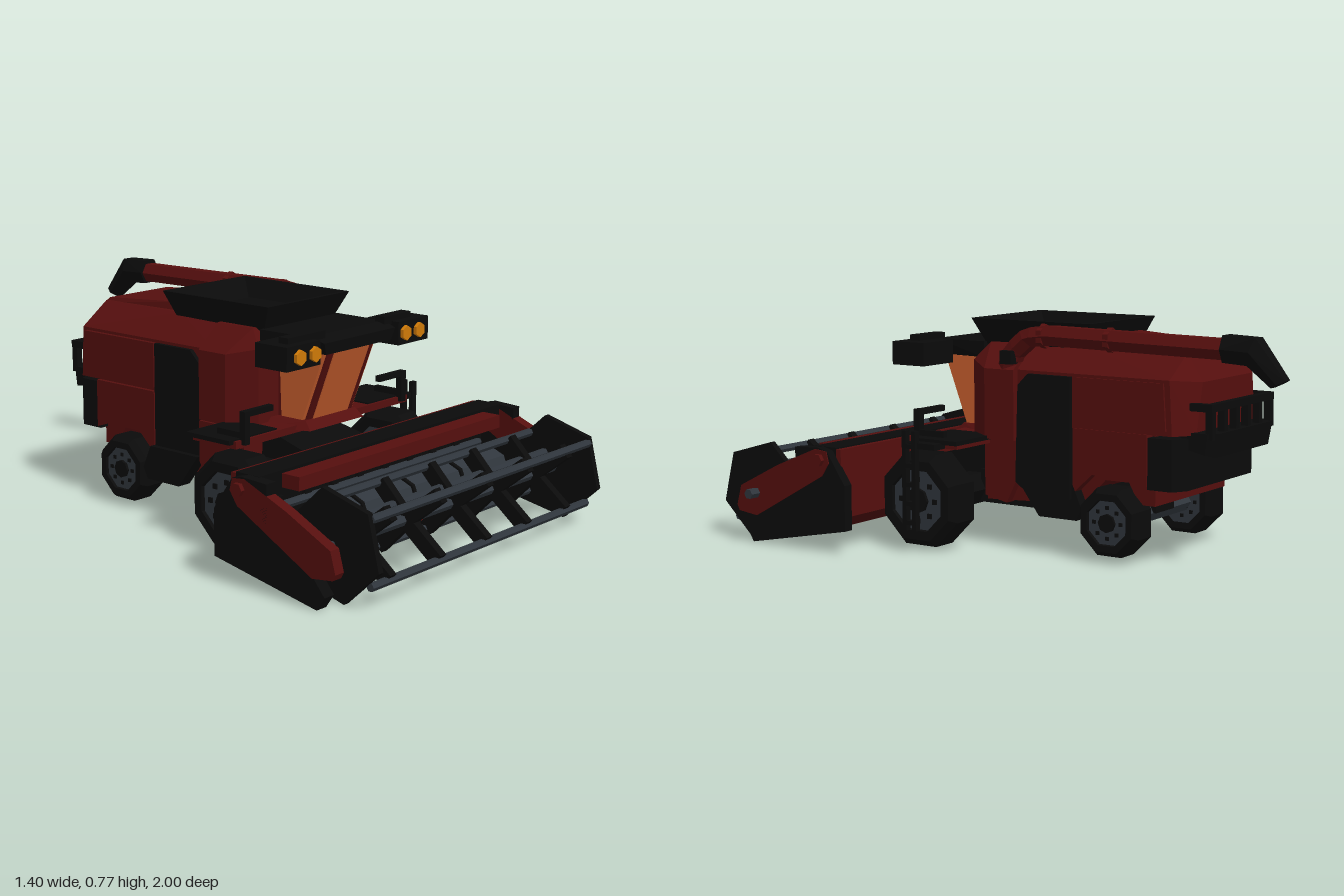
import * as THREE from 'three';
import { ConvexGeometry } from 'three/addons/geometries/ConvexGeometry.js';

const mat = (color) => new THREE.MeshStandardMaterial({ color, flatShading: true, side: THREE.DoubleSide });
const RED = mat(0x560f0e), BLACK = mat(0x0b0b0b), GREY = mat(0x30363d), GLASS = mat(0xcc602f), AMBER = mat(0xd07a08);

export function createModel() {
  const root = new THREE.Group();
  root.name = 'combineHarvester';
  const body = new THREE.Group();
  body.name = 'machine';
  body.position.x = -0.015; // machine is built symmetric, then shifted
  root.add(body);

  const add = (name, geo, m) => {
    const mesh = new THREE.Mesh(geo, m);
    mesh.name = name;
    body.add(mesh);
    return mesh;
  };
  // box given by its min and max on each axis
  const box = (name, m, x0, x1, y0, y1, z0, z1) =>
    add(name, new THREE.BoxGeometry(x1 - x0, y1 - y0, z1 - z0)
      .translate((x0 + x1) / 2, (y0 + y1) / 2, (z0 + z1) / 2), m);
  // side profile of [z, y] points, extruded from x0 to x1
  const profile = (name, m, pts, x0, x1) => {
    const shape = new THREE.Shape(pts.map(([z, y]) => new THREE.Vector2(z, y)));
    const geo = new THREE.ExtrudeGeometry(shape, { depth: x1 - x0, bevelEnabled: false });
    return add(name, geo.rotateY(-Math.PI / 2).translate(x1, 0, 0), m);
  };
  // convex block mirrored over x from [half width, y, z] corners
  const hull = (name, m, pts) => add(name, new ConvexGeometry(
    pts.flatMap(([x, y, z]) => [new THREE.Vector3(x, y, z), new THREE.Vector3(-x, y, z)])), m);
  // rod along x
  const rod = (name, m, x0, x1, y, z, r, sides = 6) =>
    add(name, new THREE.CylinderGeometry(r, r, x1 - x0, sides)
      .rotateZ(Math.PI / 2).translate((x0 + x1) / 2, y, z), m);
  // the same part on both sides, between distances a and b from the middle
  const both = (fn, a, b) => { fn(a, b, 1); fn(-b, -a, -1); };

  // ---- main body ----
  hull('rearBody', RED, [[0.27, 0.44, -0.6], [0.27, 0.44, 0.05], [0.27, 0.62, 0.05], [0.27, 0.62, -0.59],
    [0.155, 0.7, -0.59], [0.17, 0.705, -0.2], [0.17, 0.7, 0.05], [0.2, 0.44, -0.65], [0.17, 0.61, -0.655]]);
  hull('rearTopPanel', RED, [[0.155, 0.69, -0.6], [0.145, 0.71, -0.58], [0.145, 0.735, -0.22], [0.155, 0.69, -0.2]]);
  profile('lowerBody', RED, [[0.15, 0.16], [0.15, 0.45], [-0.52, 0.45], [-0.52, 0.2], [-0.46, 0.2],
    [-0.42, 0.27], [-0.33, 0.27], [-0.24, 0.18]], -0.235, 0.235);
  hull('frontBody', RED, [[0.295, 0.38, 0], [0.295, 0.62, 0], [0.295, 0.62, 0.12], [0.295, 0.38, 0.12],
    [0.2, 0.7, 0], [0.2, 0.7, 0.16], [0.23, 0.38, 0.21], [0.23, 0.64, 0.21]]);
  box('chassis', BLACK, -0.18, 0.18, 0.135, 0.25, -0.3, 0.22);
  both((a, b) => {
    profile('sidePanel', BLACK, [[0, 0.24], [-0.01, 0.57], [-0.05, 0.61], [-0.22, 0.61],
      [-0.22, 0.2], [-0.06, 0.2]], a, b);
    profile('lowerSideTank', BLACK, [[0, 0.25], [-0.225, 0.25], [-0.26, 0.17], [-0.24, 0.13], [-0.09, 0.13]], a - 0.02, b - 0.01);
    profile('lowerSidePanel', RED, [[-0.225, 0.22], [-0.225, 0.44], [-0.51, 0.44], [-0.51, 0.27],
      [-0.45, 0.29], [-0.3, 0.29]], a, b - 0.01);
    profile('rearSidePanel', RED, [[-0.225, 0.455], [-0.225, 0.61], [-0.57, 0.61], [-0.58, 0.455]], a, b - 0.008);
    profile('frontSidePanel', RED, [[0.14, 0.18], [0.14, 0.38], [0.01, 0.38], [0.01, 0.24], [0.05, 0.16]], a - 0.02, b - 0.02);
  }, 0.24, 0.285);

  // ---- grain tank: open flared hopper ----
  const ring = (x, z0, z1, y) => [[-x, y, z0], [x, y, z0], [x, y, z1], [-x, y, z1]];
  const rings = [ring(0.18, -0.21, 0.19, 0.69), ring(0.21, -0.25, 0.235, 0.78),
    ring(0.195, -0.235, 0.22, 0.78), ring(0.165, -0.19, 0.18, 0.715)];
  const pos = rings.flat(2), idx = [12, 14, 13, 12, 15, 14];
  for (let r = 0; r < 3; r++) for (let i = 0; i < 4; i++) {
    const a = r * 4 + i, b = r * 4 + (i + 1) % 4;
    idx.push(a, a + 4, b, b, a + 4, b + 4);
  }
  const tank = new THREE.BufferGeometry();
  tank.setAttribute('position', new THREE.Float32BufferAttribute(pos, 3));
  tank.setIndex(idx);
  tank.computeVertexNormals();
  add('grainTank', tank, BLACK);

  // ---- rear hood and railing ----
  hull('rearHood', BLACK, [[0.27, 0.26, -0.51], [0.27, 0.43, -0.51], [0.27, 0.43, -0.6], [0.27, 0.26, -0.6],
    [0.22, 0.43, -0.63], [0.22, 0.26, -0.63]]);
  hull('rearStep', BLACK, [[0.215, 0.4, -0.6], [0.215, 0.45, -0.6], [0.215, 0.45, -0.7], [0.185, 0.45, -0.725],
    [0.185, 0.37, -0.71], [0.215, 0.38, -0.69]]);
  box('rearRail', BLACK, -0.21, 0.21, 0.52, 0.545, -0.715, -0.69);
  for (let i = 0; i < 6; i++) {
    const x = -0.2 + i * 0.08;
    box('rearRailPost', BLACK, x - 0.012, x + 0.012, 0.43, 0.54, -0.715, -0.69);
  }
  both((a, b) => box('rearSideRail', BLACK, a, b, 0.52, 0.545, -0.715, -0.61), 0.19, 0.215);

  // ---- cab ----
  hull('cab', RED, [[0.115, 0.38, 0.32], [0.115, 0.645, 0.42], [0.13, 0.38, 0.2], [0.13, 0.645, 0.2]]);
  hull('windscreen', GLASS, [[0.09, 0.385, 0.325], [0.09, 0.645, 0.425], [0.09, 0.385, 0.3], [0.09, 0.645, 0.4]]);
  profile('sideWindows', GLASS, [[0.225, 0.4], [0.317, 0.4], [0.408, 0.637], [0.215, 0.637]], -0.131, 0.131);
  hull('cabRoof', BLACK, [[0.2, 0.645, 0.19], [0.2, 0.7, 0.19], [0.17, 0.645, 0.45], [0.185, 0.685, 0.455], [0.195, 0.7, 0.4]]);
  both((a, b, s) => {
    box('lampArm', BLACK, a - s * 0.04, b - s * 0.06, 0.69, 0.72, 0.385, 0.425);
    box('lampHousing', BLACK, a, b, 0.62, 0.7, 0.32, 0.455);
    for (const x of [0.238, 0.312]) {
      add('headlamp', new THREE.CylinderGeometry(0.026, 0.026, 0.015, 6).rotateX(Math.PI / 2)
        .translate(s * x, 0.66, 0.46), AMBER);
    }
  }, 0.205, 0.37);

  // ---- platforms, railings, ladder ----
  box('deck', RED, -0.45, 0.45, 0.36, 0.385, 0.12, 0.31);
  hull('cabBase', RED, [[0.14, 0.37, 0.36], [0.2, 0.37, 0.2], [0.13, 0.4, 0.33], [0.17, 0.4, 0.2]]);
  both((a, b, s) => {
    const x = s * 0.41;
    box('deckMat', BLACK, a - (s < 0 ? 0.05 : 0.04), b + (s < 0 ? 0.04 : 0.05), 0.375, 0.39, 0.11, 0.3);
    box('frontRail', BLACK, a, b, 0.46, 0.48, 0.3, 0.32);
    box('railPost', BLACK, x - 0.012, x + 0.012, 0.37, 0.48, 0.3, 0.325);
    box('sideRail', BLACK, x - 0.01, x + 0.01, 0.39, 0.41, 0.2, 0.32);
  }, 0.28, 0.42);
  for (const z of [0.25, 0.29]) box('ladderRail', BLACK, 0.5, 0.522, 0.08, 0.42, z - 0.008, z + 0.008);
  for (let i = 0; i < 5; i++) box('ladderRung', BLACK, 0.5, 0.522, 0.1 + i * 0.065, 0.115 + i * 0.065, 0.25, 0.29);
  box('ladderMount', BLACK, 0.44, 0.51, 0.36, 0.38, 0.17, 0.29);

  // ---- wheels ----
  const wheel = (name, s, x, y, z, r, w, sides) => {
    const g = new THREE.Group();
    g.name = name;
    g.position.set(s * x, y, z);
    const part = (n, m, geo) => { const k = new THREE.Mesh(geo, m); k.name = n; g.add(k); };
    const h = w / 2;
    const tyre = [[r * 0.66, -h], [r * 0.86, -h], [r, -h * 0.65], [r, h * 0.65], [r * 0.86, h], [r * 0.66, h], [r * 0.62, h * 0.7]];
    part('tyre', BLACK, new THREE.LatheGeometry(tyre.map((p) => new THREE.Vector2(...p)), sides)
      .rotateZ(-Math.PI / 2 * s).rotateX(Math.PI / 8));
    part('rim', GREY, new THREE.CylinderGeometry(r * 0.7, r * 0.7, w * 0.84, sides).rotateZ(Math.PI / 2).rotateX(Math.PI / 8));
    part('hub', BLACK, new THREE.CylinderGeometry(r * 0.26, r * 0.26, w, 8).rotateZ(Math.PI / 2));
    for (let i = 0; i < 8; i++) {
      const a = i * Math.PI / 4;
      part('bolt', BLACK, new THREE.BoxGeometry(w * 0.92, r * 0.1, r * 0.1)
        .translate(0, Math.cos(a) * r * 0.42, Math.sin(a) * r * 0.42));
    }
    body.add(g);
  };
  for (const s of [1, -1]) {
    wheel('frontWheel', s, 0.4, 0.175, 0.28, 0.17, 0.14, 8);
    wheel('rearWheel', s, 0.245, 0.14, -0.375, 0.122, 0.12, 8);
  }
  rod('frontAxle', BLACK, -0.36, 0.36, 0.18, 0.26, 0.06);
  rod('rearAxle', GREY, -0.22, 0.22, 0.14, -0.375, 0.035);
  box('rearAxleMount', BLACK, -0.06, 0.06, 0.14, 0.3, -0.42, -0.33);

  // ---- unloading auger ----
  const path = new THREE.CurvePath();
  const knots = [[0.07, 0.5], [0.05, 0.61], [0.02, 0.68], [-0.04, 0.73], [-0.12, 0.74], [-0.81, 0.73]]
    .map(([z, y]) => new THREE.Vector3(0.257, y, z));
  for (let i = 0; i < 5; i++) path.add(new THREE.LineCurve3(knots[i], knots[i + 1]));
  add('unloadingTube', new THREE.TubeGeometry(path, 40, 0.038, 6), RED);
  for (const z of [-0.1, -0.36]) add('tubeCollar', new THREE.CylinderGeometry(0.041, 0.041, 0.02, 6)
    .rotateX(Math.PI / 2).translate(0.257, 0.737, z), RED);
  // spout: two tapering hexagonal pieces through [half width, upper z, upper y, lower z, lower y]
  const spout = [[0.048, -0.785, 0.776, -0.785, 0.69], [0.045, -0.9, 0.772, -0.87, 0.685], [0.03, -1, 0.645, -0.95, 0.62]];
  const spoutRing = ([w, z0, y0, z1, y1]) => [0, 0.5, 1].flatMap((t) => [-1, 1].map((s) =>
    new THREE.Vector3(0.257 + s * w * (t === 0.5 ? 1 : 0.55), y0 + (y1 - y0) * t, z0 + (z1 - z0) * t)));
  for (const i of [0, 1]) add('unloadingSpout', new ConvexGeometry([...spoutRing(spout[i]), ...spoutRing(spout[i + 1])]), BLACK);
  box('tubeHinge', BLACK, 0.25, 0.31, 0.64, 0.685, 0.0, 0.045);

  // ---- feeder house ----
  hull('feederHouse', BLACK, [[0.14, 0.2, 0.1], [0.14, 0.36, 0.12], [0.17, 0.08, 0.48], [0.17, 0.27, 0.48]]);

  // ---- header trough ----
  profile('headerShell', RED, [[0.465, 0.355], [0.465, 0.12], [0.52, 0.075], [0.66, 0.045], [0.66, 0.065],
    [0.53, 0.095], [0.485, 0.14], [0.485, 0.355]], -0.64, 0.64);
  profile('headerLining', BLACK, [[0.485, 0.36], [0.485, 0.14], [0.53, 0.095], [0.64, 0.075], [0.545, 0.105],
    [0.505, 0.15], [0.505, 0.3], [0.58, 0.32], [0.58, 0.36]], -0.64, 0.64);
  box('headerBeam', RED, -0.535, 0.535, 0.305, 0.35, 0.58, 0.65);
  rod('crossAuger', GREY, -0.6, 0.6, 0.145, 0.585, 0.062, 8);
  for (let i = 0; i < 8; i++) {
    const x = -0.47 + i * 0.134;
    rod('augerFlight', BLACK, x - 0.007, x + 0.007, 0.145, 0.585, 0.07, 8);
    hull('cutterFinger', BLACK, [[0.02, 0.04, 0.64], [0.02, 0.075, 0.64], [0.012, 0.05, 0.695], [0.012, 0.065, 0.695]])
      .position.x = x;
    box('wallBracket', BLACK, x - 0.015, x + 0.015, 0.23, 0.25, 0.5, 0.52);
  }
  rod('rearHeaderBar', GREY, -0.6, 0.6, 0.22, 0.52, 0.014);
  both((a, b, s) => {
    profile('headerArm', RED, [[0.91, 0.13], [0.89, 0.2], [0.72, 0.285], [0.55, 0.355], [0.5, 0.35], [0.49, 0.31],
      [0.52, 0.265], [0.82, 0.1], [0.9, 0.11]], a, b);
    profile('headerEnd', BLACK, [[0.64, 0.355], [0.54, 0.36], [0.5, 0.35], [0.425, 0.24], [0.425, 0.085], [0.84, 0.005],
      [0.87, 0.05], [0.82, 0.11], [0.64, 0.2]], a, b - s * 0.004);
    rod('armPivot', RED, s > 0 ? b - 0.01 : a - 0.015, s > 0 ? b + 0.015 : a + 0.01, 0.32, 0.53, 0.022);
  }, 0.635, 0.675);

  // ---- reel, set slightly toward the left ----
  const reelX = 0.028;
  rod('reelShaft', GREY, -0.645, 0.715, 0.18, 0.82, 0.018);
  both((a, b) => {
    const hex = Array.from({ length: 6 }, (_, i) => {
      const t = (-16 + 60 * i) * Math.PI / 180;
      return [0.825 + 0.182 * Math.cos(t), 0.18 + 0.18 * Math.sin(t)];
    });
    profile('reelEndPlate', BLACK, hex, a + reelX, b + reelX);
  }, 0.59, 0.612);
  rod('reelBar', GREY, reelX - 0.595, reelX + 0.595, 0.225, 0.785, 0.014);
  for (const z of [0.722, 0.955]) for (const y of [0.075, 0.285]) {
    rod('reelBar', GREY, reelX - 0.595, reelX + 0.595, y, z, 0.014);
    for (const x of [-0.475, -0.223, 0.025, 0.253, 0.485]) {
      const dz = z - 0.825, dy = y - 0.18;
      const spoke = add('reelSpoke', new THREE.BoxGeometry(0.03, 0.05, Math.hypot(dz, dy)), BLACK);
      spoke.position.set(x, 0.18 + dy / 2, 0.825 + dz / 2);
      spoke.rotation.x = -Math.atan2(dy, dz);
    }
  }
  return root;
}
